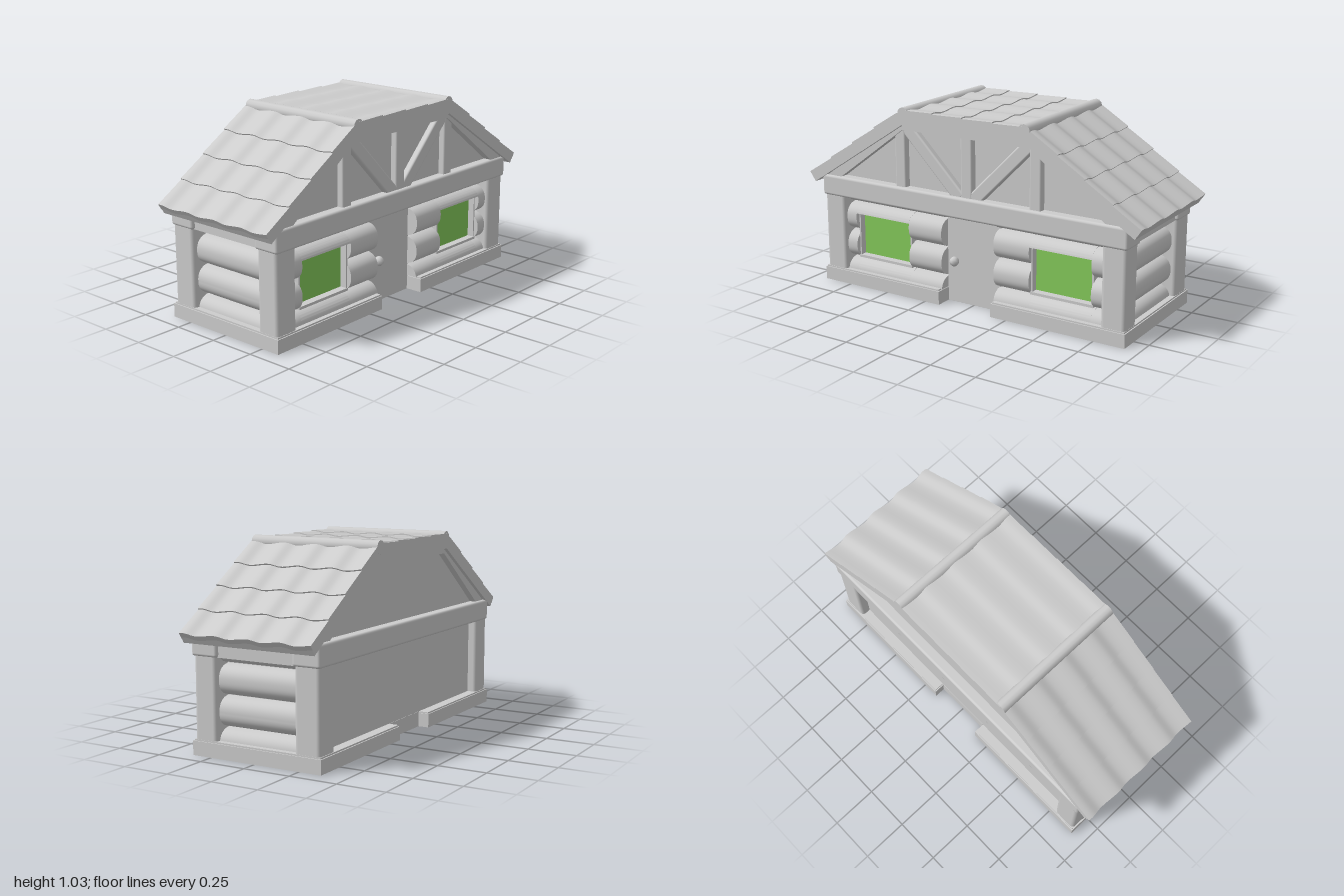
import * as THREE from 'three';
import { toCreasedNormals } from 'three/addons/utils/BufferGeometryUtils.js';
import { RoundedBoxGeometry } from 'three/addons/geometries/RoundedBoxGeometry.js';

const stone = new THREE.MeshStandardMaterial({ color: 0xcccccc, side: THREE.DoubleSide });
stone.name = 'plain grey';
const glass = new THREE.MeshStandardMaterial({ color: 0x84c95a });
glass.name = 'window green';

export function createModel() {
  const model = new THREE.Group();
  model.name = 'cottage';

  function add(name, geometry, material = stone) {
    const mesh = new THREE.Mesh(geometry, material);
    mesh.name = name;
    model.add(mesh);
    return mesh;
  }

  // Box given by its limits, with optional rounded edges
  function box(name, x0, x1, y0, y1, z0, z1, radius = 0, material = stone) {
    const w = x1 - x0, h = y1 - y0, d = z1 - z0;
    const geo = radius ? new RoundedBoxGeometry(w, h, d, 3, radius) : new THREE.BoxGeometry(w, h, d);
    const mesh = add(name, geo, material);
    mesh.position.set((x0 + x1) / 2, (y0 + y1) / 2, (z0 + z1) / 2);
    return mesh;
  }

  const outline = (pts) => new THREE.Shape(pts.map(([a, b]) => new THREE.Vector2(a, b)));
  const extrude = (shape, depth) => new THREE.ExtrudeGeometry(shape, { depth, bevelEnabled: false });

  // Plan of the plinth with door notches front and back, shrunk by an inset
  const plan = (i) => {
    const f = -0.355 + i, b = 0.37 - i, x = 0.92 - i, n = 0.16 + i, nf = -0.26 + i, nb = 0.31 - i;
    return [[-x, f], [-n, f], [-n, nf], [n, nf], [n, f], [x, f],
      [x, b], [n, b], [n, nb], [-n, nb], [-n, b], [-x, b]];
  };
  const rim = outline(plan(0));
  rim.holes.push(outline(plan(0.03)));
  add('plinthRim', extrude(rim, 0.072).rotateX(-Math.PI / 2));
  add('plinthTop', extrude(outline(plan(0.006)), 0.065).rotateX(-Math.PI / 2)).position.y = 0.015;

  // Wall core, door and the closing strip behind it
  box('wallCore', -0.81, 0.81, 0.06, 0.56, -0.31, 0.24);
  box('backThreshold', -0.16, 0.16, 0, 0.08, -0.312, -0.28);
  box('door', -0.16, 0.165, 0, 0.49, 0.22, 0.263);
  const knob = add('doorKnob', new THREE.SphereGeometry(0.026, 8, 6));
  knob.position.set(-0.105, 0.23, 0.288);
  const stem = add('doorKnobStem', new THREE.CylinderGeometry(0.012, 0.012, 0.04, 8).rotateX(Math.PI / 2));
  stem.position.set(-0.105, 0.23, 0.27);

  // Stacked log profile: outward bulge against height
  const bulge = (y) => {
    const t = (((y - 0.14) / 0.156) % 1 + 1) % 1 * 2 - 1;
    return 0.24 + 0.085 * Math.sqrt(Math.max(0, 1 - Math.abs(t) ** 2.5));
  };
  function logGeometry(y0, y1, length) {
    const heights = [0.14, 0.296, 0.452];
    for (let i = 0; i <= 44; i++) heights.push(y0 + (y1 - y0) * i / 44);
    const pts = heights.filter((y) => y >= y0 && y <= y1).sort((a, b) => a - b).map((y) => [bulge(y), y]);
    return toCreasedNormals(extrude(outline([[0.2, y0], ...pts, [0.2, y1]]), length), 0.7);
  }
  function frontLogs(x0, x1, y0, y1) {
    add('frontLogs', logGeometry(y0, y1, x1 - x0).rotateY(-Math.PI / 2)).position.x = x1;
  }

  for (const s of [-1, 1]) {
    // Front logs leave an opening for the window
    const span = (a, b, y0, y1) => frontLogs(Math.min(s * a, s * b), Math.max(s * a, s * b), y0, y1);
    span(0.16, 0.368, 0.075, 0.49);
    span(0.718, 0.79, 0.075, 0.49);
    span(0.368, 0.718, 0.075, 0.15);
    span(0.368, 0.718, 0.4, 0.49);

    // Window pane and frame
    const cx = s * 0.543;
    box('windowPane', cx - 0.168, cx + 0.168, 0.162, 0.396, 0.257, 0.264, 0, glass);
    box('windowBacking', cx - 0.172, cx + 0.172, 0.155, 0.4, 0.235, 0.256);
    for (const e of [-1, 1]) {
      box('windowFrameSide', cx + e * 0.172 - 0.005, cx + e * 0.172 + 0.005, 0.15, 0.405, 0.23, 0.3);
      const y = e < 0 ? 0.156 : 0.4;
      box('windowFrameRail', cx - 0.177, cx + 0.177, y - 0.007, y + 0.007, 0.23, 0.305);
    }

    // Side logs and the tie beam above them
    const side = add('sideLogs', logGeometry(0.075, 0.5, 0.46));
    side.position.set(s * 0.56, 0, s * -0.23);
    if (s < 0) side.rotation.y = Math.PI;
    const tx = s * 0.85;
    box('sideBeam', tx - 0.05, tx + 0.05, 0.487, 0.6, -0.24, 0.24);

    // Corner posts
    const px = s * 0.847;
    box('frontPost', px - 0.066, px + 0.066, 0.05, 0.52, 0.22, 0.346, 0.02);
    box('backPost', px - 0.066, px + 0.066, 0.05, 0.52, -0.36, -0.222, 0.02);

    // Gable timbers
    const gx = s * 0.406;
    box('gablePost', gx - 0.033, gx + 0.033, 0.58, 0.93, 0.24, 0.335, 0.01);
    const brace = add('gableBrace', new RoundedBoxGeometry(0.47, 0.07, 0.07, 3, 0.01));
    brace.position.set(s * 0.203, 0.753, 0.298);
    brace.rotation.z = s * 0.785;
  }
  box('gableCentrePost', -0.03, 0.038, 0.58, 0.93, 0.24, 0.335, 0.01);

  // Long beams front and back
  box('frontBeam', -0.92, 0.92, 0.487, 0.6, 0.21, 0.356, 0.014);
  box('backBeam', -0.92, 0.92, 0.487, 0.6, -0.366, -0.215, 0.014);

  // Gable wall, inner rafters and roof slab share a half profile that is mirrored
  const mirrored = (pts) => outline([...pts, ...pts.map(([x, y]) => [-x, y]).reverse()]);
  function gable(name, pts, z0, z1) {
    add(name, extrude(mirrored(pts), z1 - z0)).position.z = z0;
  }
  gable('gableWall', [[0.9, 0.56], [0.38, 0.95]], -0.31, 0.3);
  const rafter = [[0.38, 0.907], [0.83, 0.575], [0.94, 0.565], [0.375, 0.95]];
  gable('frontRafters', rafter, 0.28, 0.345);
  gable('backRafters', rafter, -0.345, -0.3);
  gable('roofSlab', [[0.37, 0.935], [0.962, 0.555], [0.98, 0.586], [0.385, 0.983], [0.36, 1.0]], -0.365, 0.366);

  // Wavy tiles: stepped rows running from one point to another, turned down at the ends
  const wave = (z) => {
    const u = (((0.16 - z) / 0.183) % 1 + 1) % 1;
    const phase = u < 0.37 ? u / 0.37 : 1 + (u - 0.37) / 0.63;
    return 0.5 + 0.5 * Math.cos(Math.PI * phase);
  };
  function tiles(x0, y0, x1, y1, rows, step, swell) {
    const length = Math.hypot(x1 - x0, y1 - y0);
    const nx = (y0 - y1) / length, ny = (x1 - x0) / length;
    const path = [];
    for (let r = 0; r < rows; r++) path.push([r / rows, 0], [(r + 1) / rows, step]);
    path.push([1, -0.02]);
    const n = 66, pos = [], index = [];
    path.forEach(([t, h], i) => {
      for (let j = 0; j <= n; j++) {
        const k = Math.min(Math.max(j - 1, 0), n - 2);
        const z = -0.367 + 0.734 * k / (n - 2);
        const up = k === j - 1 ? h + swell * wave(z) : -0.02;
        pos.push(x0 + (x1 - x0) * t + nx * up, y0 + (y1 - y0) * t + ny * up, z);
        if (i && j) {
          const d = i * (n + 1) + j, c = d - 1, b = d - n - 1, a = b - 1;
          index.push(a, b, c, b, d, c);
        }
      }
    });
    const geo = new THREE.BufferGeometry();
    geo.setAttribute('position', new THREE.Float32BufferAttribute(pos, 3));
    geo.setIndex(index);
    return toCreasedNormals(geo, 0.6);
  }
  const slope = () => tiles(0.39, 0.987, 0.985, 0.59, 4, 0.007, 0.014);
  add('leftRoofTiles', slope());
  add('rightRoofTiles', slope()).rotation.y = Math.PI;
  add('topRoofTiles', tiles(-0.36, 1.006, 0.36, 1.001, 4, 0.006, 0.009));

  // Ridge caps
  for (const s of [-1, 1]) {
    const cap = add('ridgeCap', new THREE.CylinderGeometry(0.034, 0.034, 0.732, 12).rotateX(Math.PI / 2));
    cap.position.set(s * 0.36, 0.995, 0);
  }
  return model;
}
